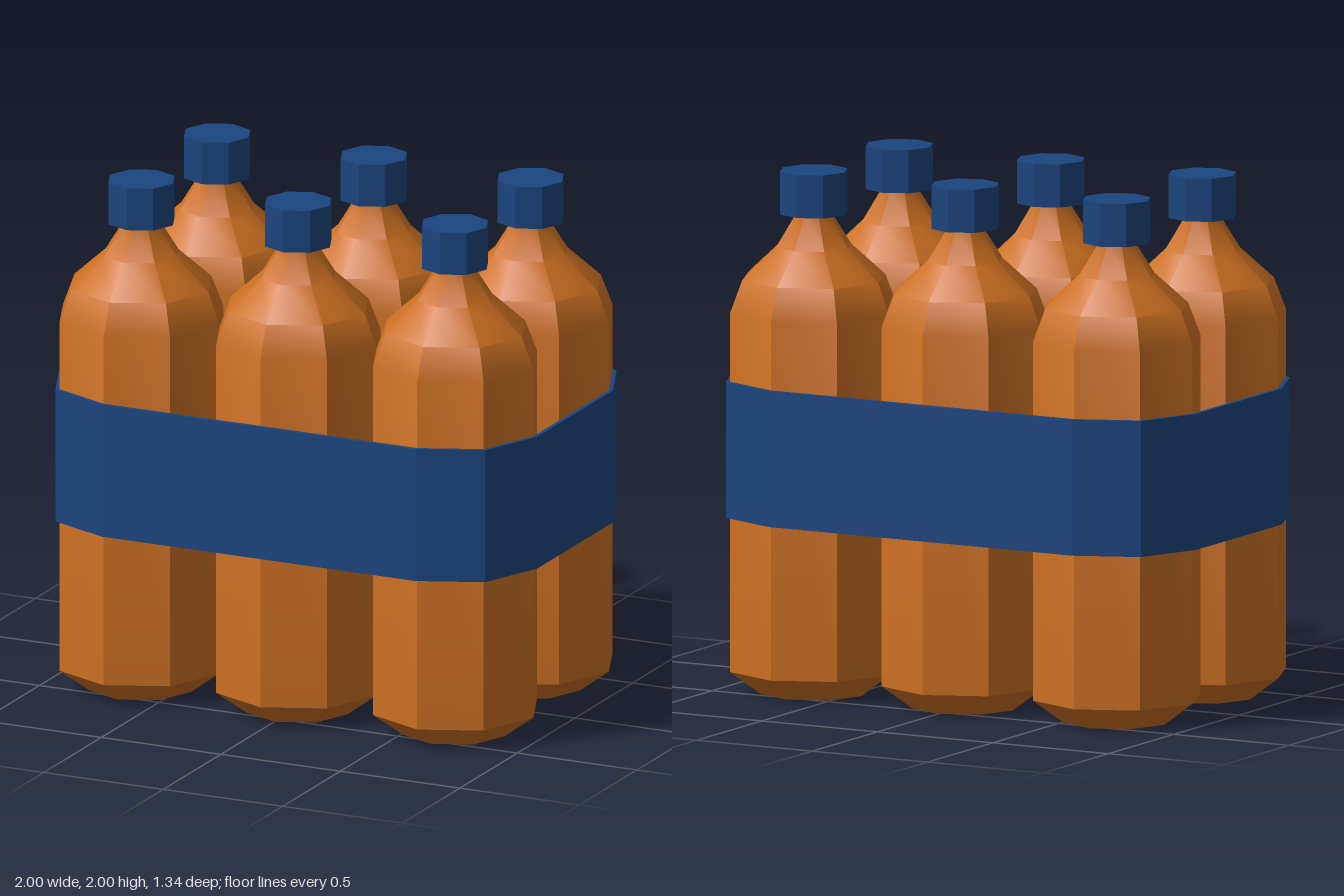
import * as THREE from 'three';
import { toCreasedNormals } from 'three/addons/utils/BufferGeometryUtils.js';

const R = 0.328; // bottle radius
const SIDES = 8;

// Outline wrapping the four corner bottles, with corner radius r
function bandOutline(r, PathType) {
  const points = [];
  for (let quadrant = 0; quadrant < 4; quadrant++) {
    const cx = (quadrant === 0 || quadrant === 3 ? 1 : -1) * 2 * R;
    const cy = (quadrant < 2 ? 1 : -1) * R;
    for (let i = 0; i < 3; i++) {
      const a = (quadrant * 2 + i) * Math.PI / 4;
      points.push(new THREE.Vector2(cx + r * Math.cos(a), cy + r * Math.sin(a)));
    }
  }
  return new PathType(points);
}

export function createModel() {
  const model = new THREE.Group();
  model.name = 'bottlePack';
  const amber = new THREE.MeshStandardMaterial({ color: 0xcc7022 });
  const blue = new THREE.MeshStandardMaterial({ color: 0x1b457f, flatShading: true });

  // Bottle profile: base, chamfer, straight body, rounded shoulder, neck
  const profile = [
    [0, 0], [0.207, 0], [R, 0.09], [R, 1.46],
    [0.28, 1.585], [0.148, 1.705], [0.07, 1.83], [0.07, 1.87],
  ].map(([x, y]) => new THREE.Vector2(x, y));
  const bottleGeometry = toCreasedNormals(new THREE.LatheGeometry(profile, SIDES), 0.62);
  const capGeometry = new THREE.CylinderGeometry(0.132, 0.132, 0.165, SIDES);

  // Two rows of three bottles
  for (const row of [-1, 1]) {
    for (const column of [-1, 0, 1]) {
      const bottle = new THREE.Group();
      bottle.name = 'bottle';
      const body = new THREE.Mesh(bottleGeometry, amber);
      body.name = 'bottleBody';
      const cap = new THREE.Mesh(capGeometry, blue);
      cap.name = 'bottleCap';
      cap.position.y = 1.9125;
      bottle.add(body, cap);
      bottle.position.set(column * 2 * R, 0, row * R);
      model.add(bottle);
    }
  }

  // Thin band around the whole pack
  const outline = bandOutline(R + 0.016, THREE.Shape);
  outline.holes.push(bandOutline(R, THREE.Path));
  const bandGeometry = new THREE.ExtrudeGeometry(outline, { depth: 0.52, bevelEnabled: false });
  bandGeometry.rotateX(-Math.PI / 2);
  const band = new THREE.Mesh(bandGeometry, blue);
  band.name = 'wrapBand';
  band.position.y = 0.68;
  model.add(band);

  return model;
}
